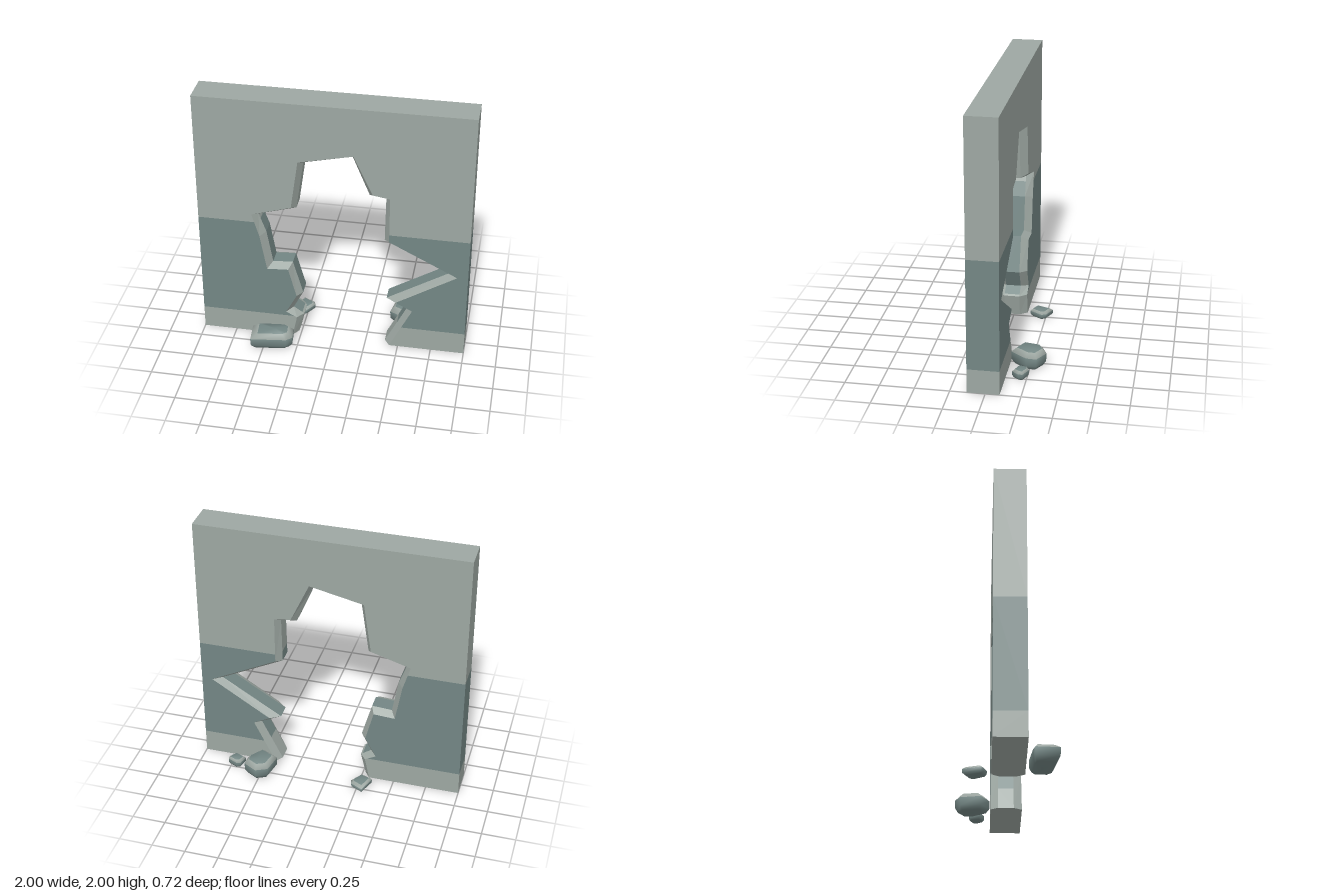
import * as THREE from 'three';

const plaster = new THREE.MeshStandardMaterial({ name: 'plasterGrey', color: 0x9da7a2 });
const paint = new THREE.MeshStandardMaterial({ name: 'paintBlueGrey', color: 0x738684 });

// Wall depth: front, chamfer ends, back; and the painted band's heights
const FRONT = 0.13, FRONT_IN = 0.07, BACK_IN = -0.045, BACK = -0.10;
const BAND_LOW = 0.18, BAND_HIGH = 1.0;

// Broken opening, from bottom left over the top to bottom right:
// x, y on the wall faces, then x, y at the middle of the wall's depth
const breach = [
  [-0.31, 0, -0.27, 0], [-0.275, 0.17, -0.23, 0.17], [-0.358, 0.213, -0.31, 0.225],
  [-0.275, 0.37, -0.235, 0.37], [-0.335, 0.605, -0.31, 0.64], [-0.495, 0.595, -0.46, 0.63],
  [-0.545, 0.88, -0.505, 0.89], [-0.60, 1.065, -0.56, 1.04], [-0.305, 1.155, -0.275, 1.125],
  [-0.25, 1.54, -0.22, 1.51], [0.15, 1.628, 0.135, 1.592], [0.29, 1.325, 0.26, 1.29],
  [0.415, 1.305, 0.38, 1.275], [0.415, 0.94, 0.375, 0.92], [0.92, 0.685, 0.855, 0.68],
  [0.475, 0.405, 0.40, 0.40], [0.60, 0.34, 0.555, 0.325], [0.435, 0, 0.395, 0],
];

// Cut a convex polygon at height y, keeping the part above (side 1) or below (side -1)
function clip(points, y, side) {
  const kept = [];
  points.forEach((a, i) => {
    const b = points[(i + 1) % points.length];
    const da = (a[1] - y) * side, db = (b[1] - y) * side;
    if (da >= 0) kept.push(a);
    if (da * db < 0) {
      const t = da / (da - db);
      kept.push(a.map((v, k) => v + (b[k] - v) * t));
    }
  });
  return kept;
}

function addFan(target, points) {
  for (let i = 1; i < points.length - 1; i++) {
    target.push(...points[0], ...points[i], ...points[i + 1]);
  }
}

function flatMesh(name, positions, material) {
  const geometry = new THREE.BufferGeometry();
  geometry.setAttribute('position', new THREE.Float32BufferAttribute(positions, 3));
  geometry.computeVertexNormals();
  const mesh = new THREE.Mesh(geometry, material);
  mesh.name = name;
  return mesh;
}

function buildWall() {
  const bare = [], band = [], chips = [];
  const addBanded = (points) => {
    addFan(bare, clip(points, BAND_LOW, -1));
    addFan(band, clip(clip(points, BAND_LOW, 1), BAND_HIGH, -1));
    addFan(bare, clip(points, BAND_HIGH, 1));
  };

  // Front and back faces
  const outline = [[-1, 0], ...breach.map((p) => [p[0], p[1]]), [1, 0], [1, 2], [-1, 2]];
  const contour = outline.map(([x, y]) => new THREE.Vector2(x, y));
  for (const triangle of THREE.ShapeUtils.triangulateShape(contour, [])) {
    addBanded(triangle.map((i) => [...outline[i], FRONT]));
    addBanded(triangle.map((i) => [...outline[i], BACK]).reverse());
  }

  // Ends and top
  addBanded([[1, 0, FRONT], [1, 0, BACK], [1, 2, BACK], [1, 2, FRONT]]);
  addBanded([[-1, 0, BACK], [-1, 0, FRONT], [-1, 2, FRONT], [-1, 2, BACK]]);
  addFan(bare, [[-1, 2, FRONT], [1, 2, FRONT], [1, 2, BACK], [-1, 2, BACK]]);

  // Undersides of the two feet
  const l = breach[0], r = breach[breach.length - 1];
  addFan(bare, [[-1, 0, FRONT], [l[0], 0, FRONT], [l[2], 0, FRONT_IN],
    [l[2], 0, BACK_IN], [l[0], 0, BACK], [-1, 0, BACK]].reverse());
  addFan(bare, [[r[0], 0, FRONT], [1, 0, FRONT], [1, 0, BACK],
    [r[0], 0, BACK], [r[2], 0, BACK_IN], [r[2], 0, FRONT_IN]].reverse());

  // Opening: chamfer, painted inner face, chamfer
  const rings = (p) => [[p[0], p[1], FRONT], [p[2], p[3], FRONT_IN],
    [p[2], p[3], BACK_IN], [p[0], p[1], BACK]];
  for (let i = 0; i < breach.length - 1; i++) {
    const a = rings(breach[i]), b = rings(breach[i + 1]);
    for (let k = 0; k < 3; k++) {
      const quad = [a[k], a[k + 1], b[k + 1], b[k]];
      if (k === 1) addBanded(quad);
      else addFan(chips, quad);
    }
  }

  const wall = new THREE.Group();
  wall.name = 'brokenWall';
  wall.add(
    flatMesh('bareWall', bare, plaster),
    flatMesh('paintedBand', band, paint),
    flatMesh('chippedEdge', chips, plaster),
  );
  return wall;
}

// Rounded rock built from scaled copies of its plan outline [x, z]
function buildRock(name, outline, height) {
  const n = outline.length;
  const cx = outline.reduce((s, p) => s + p[0], 0) / n;
  const cz = outline.reduce((s, p) => s + p[1], 0) / n;
  const levels = [[0, 0.8], [0.25, 0.98], [0.72, 1], [1, 0.7]];
  const positions = [], index = [];
  for (const [h, s] of levels) {
    for (const [x, z] of outline) positions.push(cx + (x - cx) * s, h * height, cz + (z - cz) * s);
  }
  const bottom = levels.length * n, top = bottom + 1;
  positions.push(cx, 0, cz, cx, height, cz);

  const geometry = new THREE.BufferGeometry();
  const closeGroup = (start, material) => geometry.addGroup(start, index.length - start, material);
  for (let k = 0; k < levels.length - 1; k++) {
    const start = index.length;
    for (let i = 0; i < n; i++) {
      const a = k * n + i, b = k * n + (i + 1) % n;
      index.push(b, a, a + n, b, a + n, b + n);
    }
    closeGroup(start, k === 2 ? 1 : 0); // broken upper rim is bare
  }
  const start = index.length;
  for (let i = 0; i < n; i++) {
    const j = (i + 1) % n, t = (levels.length - 1) * n;
    index.push(bottom, i, j, top, t + j, t + i);
  }
  closeGroup(start, 0);
  geometry.setAttribute('position', new THREE.Float32BufferAttribute(positions, 3));
  geometry.setIndex(index);
  geometry.computeVertexNormals();
  const rock = new THREE.Mesh(geometry, [paint, plaster]);
  rock.name = name;
  return rock;
}

export function createModel() {
  const model = new THREE.Group();
  model.name = 'breachedWall';
  model.add(
    buildWall(),
    buildRock('frontRubble', [[-0.605, 0.19], [-0.55, 0.175], [-0.335, 0.155], [-0.29, 0.18],
      [-0.28, 0.285], [-0.325, 0.325], [-0.59, 0.358]], 0.128),
    buildRock('largeBackRubble', [[0.4, -0.17], [0.43, -0.32], [0.515, -0.36], [0.62, -0.3],
      [0.615, -0.225], [0.525, -0.105]], 0.128),
    buildRock('smallBackRubble', [[0.65, -0.18], [0.67, -0.25], [0.70, -0.26], [0.775, -0.225],
      [0.775, -0.195], [0.735, -0.145]], 0.065),
    buildRock('leftBackRubble', [[-0.35, -0.17], [-0.30, -0.30], [-0.21, -0.255], [-0.2, -0.22],
      [-0.26, -0.13], [-0.33, -0.155]], 0.058),
  );
  return model;
}
